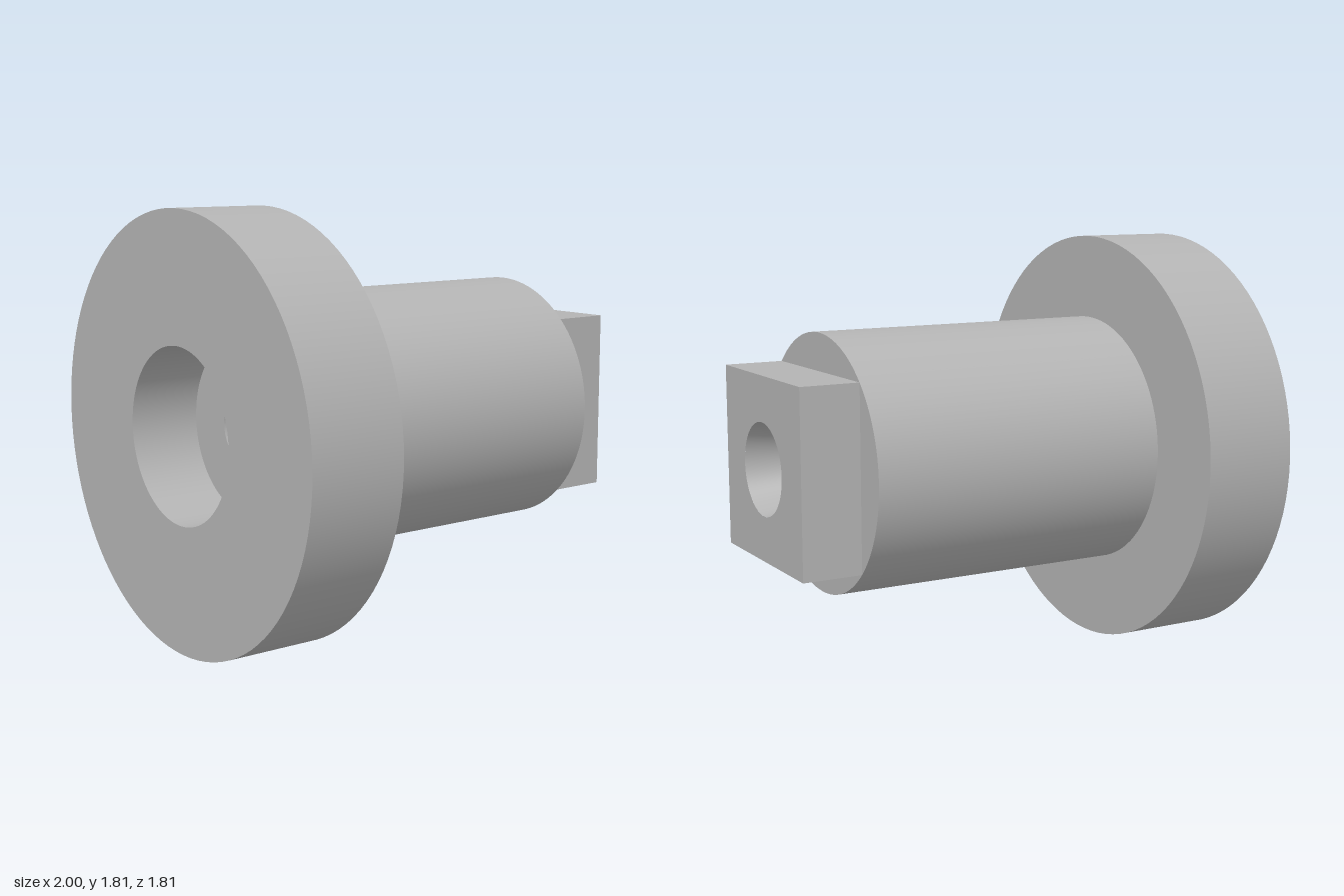
import * as THREE from 'three';

const R_FLANGE = 0.907, R_SHAFT = 0.547, HALF = 0.387;
const X_BACK = -1, X_FLANGE = -0.58, X_SHAFT = 0.745, X_END = 1;

export function createModel() {
  const model = new THREE.Group();
  const steel = new THREE.MeshStandardMaterial({ color: 0xb3b3b3 });
  steel.name = 'grey steel';

  // Revolve a list of [x, radius] points around the x axis, sharp at each point
  function turned(name, points) {
    const part = new THREE.Group();
    part.name = name;
    for (let i = 0; i + 1 < points.length; i++) {
      const pair = [points[i], points[i + 1]].map(([x, r]) => new THREE.Vector2(r, x));
      const mesh = new THREE.Mesh(new THREE.LatheGeometry(pair, 96).rotateZ(-Math.PI / 2), steel);
      mesh.name = name + 'Surface';
      part.add(mesh);
    }
    part.position.y = R_FLANGE;
    model.add(part);
  }

  // Flange and shaft
  turned('flange', [[X_BACK, 0.365], [X_BACK, R_FLANGE], [X_FLANGE, R_FLANGE], [X_FLANGE, R_SHAFT]]);
  turned('shaft', [[X_FLANGE, R_SHAFT], [X_SHAFT, R_SHAFT], [X_SHAFT, 0.195]]);

  // Tapered through hole opening into a wide counterbore at the back
  turned('bore', [[X_END, 0.195], [0.85, 0.17], [-0.69, 0.145], [-0.69, 0.365], [X_BACK, 0.365]]);

  // Square drive end: pierced face and four flats
  const drive = new THREE.Group();
  drive.name = 'squareDrive';
  drive.position.y = R_FLANGE;
  const square = new THREE.Shape([[-1, -1], [1, -1], [1, 1], [-1, 1]]
    .map(([a, b]) => new THREE.Vector2(a * HALF, b * HALF)));
  square.holes.push(new THREE.Path().absarc(0, 0, 0.195, 0, Math.PI * 2, true));
  const face = new THREE.Mesh(new THREE.ShapeGeometry(square, 96).rotateY(Math.PI / 2), steel);
  face.name = 'driveFace';
  face.position.x = X_END;
  drive.add(face);
  for (let i = 0; i < 4; i++) {
    const flat = new THREE.PlaneGeometry(X_END - X_SHAFT, HALF * 2)
      .translate((X_END + X_SHAFT) / 2, 0, HALF).rotateX(i * Math.PI / 2);
    const mesh = new THREE.Mesh(flat, steel);
    mesh.name = 'driveFlat';
    drive.add(mesh);
  }
  model.add(drive);
  return model;
}
